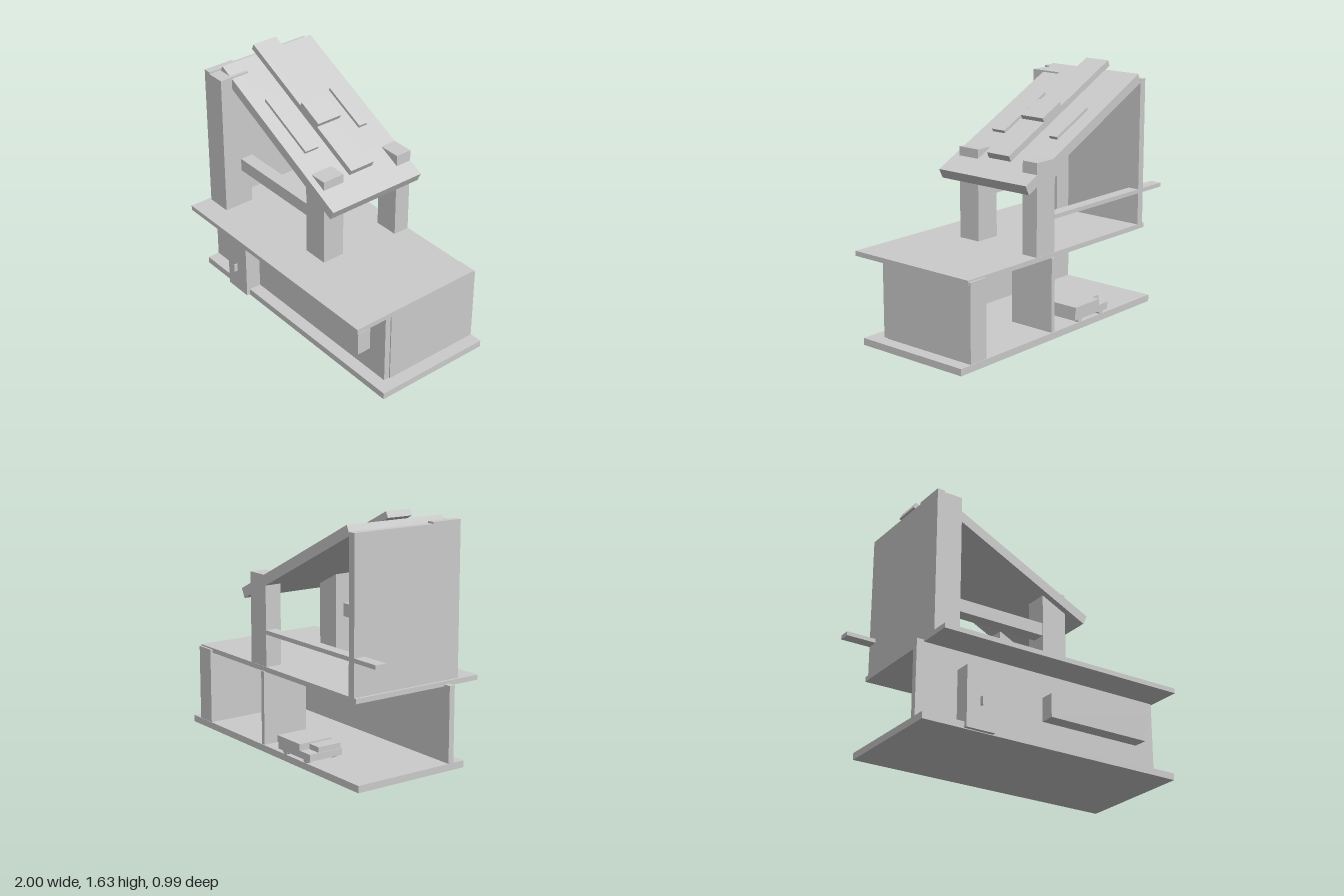
import * as THREE from 'three';

const material = new THREE.MeshStandardMaterial({ color: 0xcccccc, flatShading: true });

// Adds a box given by its extents along each axis.
function slab(parent, name, [x0, x1], [y0, y1], [z0, z1]) {
  const mesh = new THREE.Mesh(new THREE.BoxGeometry(x1 - x0, y1 - y0, z1 - z0), material);
  mesh.position.set((x0 + x1) / 2, (y0 + y1) / 2, (z0 + z1) / 2);
  mesh.name = name;
  parent.add(mesh);
  return mesh;
}

function part(parent, name) {
  const group = new THREE.Group();
  group.name = name;
  parent.add(group);
  return group;
}

export function createModel() {
  const model = new THREE.Group();
  model.name = 'house';

  // Ground floor: open at the back and on one end
  const lower = part(model, 'groundFloor');
  slab(lower, 'basePlate', [-0.865, 1], [0, 0.045], [-0.478, 0.345]);
  slab(lower, 'frontWall', [-0.865, 0.905], [0.045, 0.54], [0.22, 0.26]);
  slab(lower, 'endWall', [0.775, 0.913], [0.045, 0.55], [-0.475, 0.22]);
  slab(lower, 'divider', [0.135, 0.165], [0.045, 0.53], [-0.472, -0.145]);
  slab(lower, 'terrace', [-0.815, 0.915], [0.528, 0.56], [-0.46, 0.492]);

  // Front door and window box
  slab(lower, 'door', [-0.58, -0.38], [0.005, 0.402], [0.25, 0.37]);
  slab(lower, 'doorHandle', [-0.487, -0.48], [0.157, 0.212], [0.365, 0.397]);
  slab(lower, 'windowBox', [0.038, 0.765], [0.21, 0.367], [0.25, 0.357]);

  // Small vehicle parked in the open room
  const cart = part(model, 'vehicle');
  slab(cart, 'chassis', [-0.39, -0.05], [0.07, 0.115], [-0.488, -0.245]);
  slab(cart, 'body', [-0.29, -0.05], [0.115, 0.16], [-0.495, -0.25]);
  slab(cart, 'hood', [-0.385, -0.29], [0.115, 0.15], [-0.42, -0.25]);
  for (const x of [-0.33, -0.11]) {
    for (const z of [-0.465, -0.265]) {
      const wheel = new THREE.Mesh(new THREE.CylinderGeometry(0.024, 0.024, 0.03, 12), material);
      wheel.rotation.x = Math.PI / 2;
      wheel.position.set(x, 0.069, z);
      wheel.name = 'wheel';
      cart.add(wheel);
    }
  }

  // Upper frame carrying the roof
  const frame = part(model, 'upperFrame');
  slab(frame, 'tallWall', [-0.797, -0.745], [0.55, 1.535], [-0.46, 0.34]);
  slab(frame, 'tallPost', [-0.797, -0.62], [0.55, 1.535], [0.13, 0.343]);
  slab(frame, 'postCap', [-0.797, -0.745], [1.535, 1.547], [0.13, 0.343]);
  slab(frame, 'frontPost', [0.08, 0.255], [0.5, 1.158], [0.058, 0.215]);
  slab(frame, 'backPost', [0.125, 0.295], [0.55, 1.153], [-0.458, -0.345]);
  slab(frame, 'crossBeam', [-0.63, 0.09], [0.825, 0.912], [0.12, 0.21]);
  slab(frame, 'rail', [-1, 0.13], [0.773, 0.8], [-0.46, -0.382]);

  // Sloping roof; local x runs down the slope and y = 0 is its top face
  const roof = part(model, 'roof');
  roof.position.set(-0.72, 1.573, 0);
  roof.rotation.z = -Math.atan2(0.545, 1.12);
  slab(roof, 'roofPanel', [0, 1.245], [-0.067, 0], [-0.458, 0.258]);
  slab(roof, 'centreStrip', [-0.05, 1.055], [0, 0.042], [-0.192, -0.01]);
  slab(roof, 'stripBlock', [0.492, 0.68], [0.042, 0.071], [-0.192, -0.01]);
  slab(roof, 'frontSlat', [0.347, 0.8], [0, 0.02], [0.057, 0.16]);
  slab(roof, 'backSlat', [0.44, 0.775], [0, 0.02], [-0.358, -0.295]);

  return model;
}
